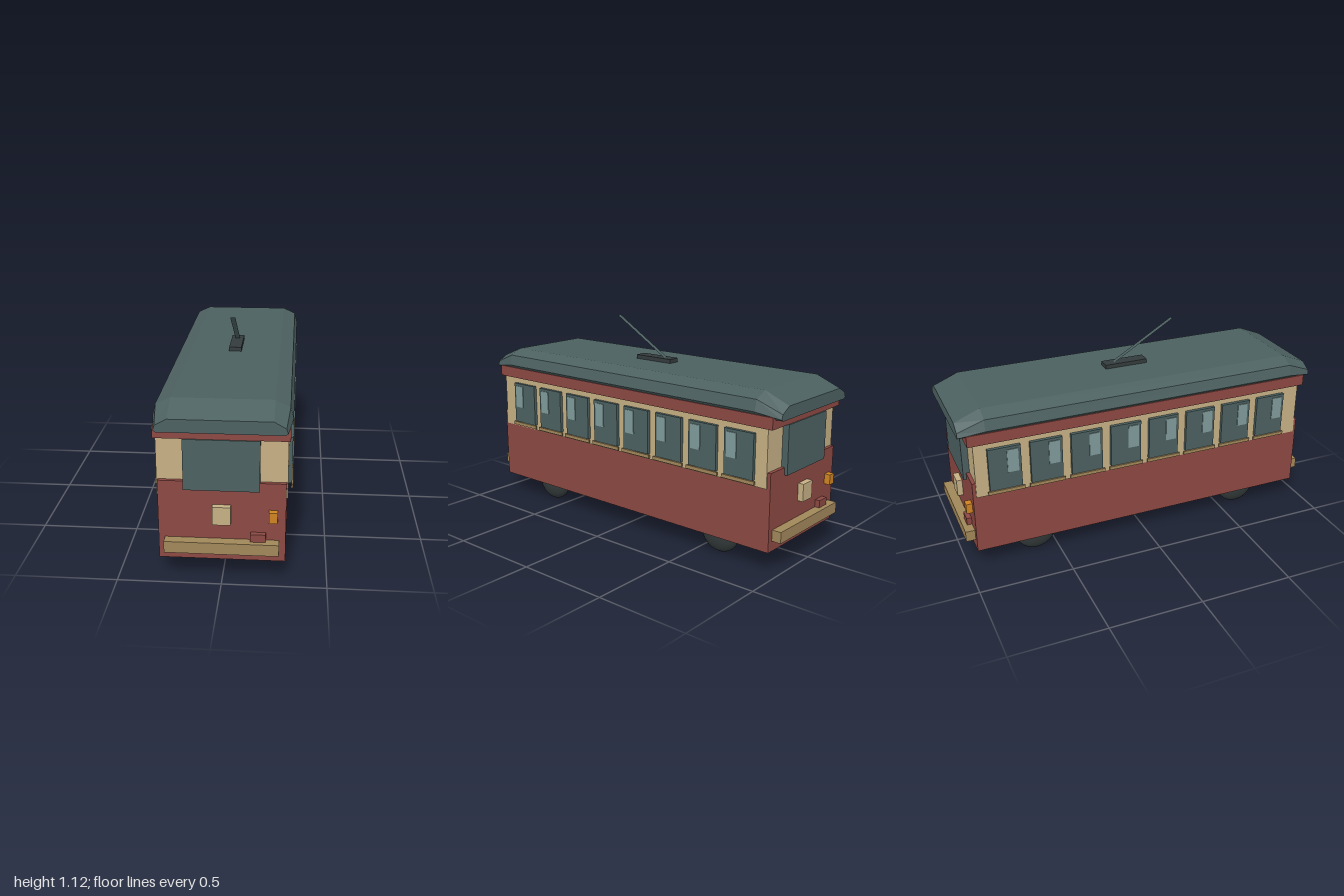
import * as THREE from 'three';

const mat = (name, color, extra = {}) => {
  const m = new THREE.MeshStandardMaterial({ color, ...extra });
  m.name = name;
  return m;
};

export function createModel() {
  const red = mat('maroon', 0x8c4843);
  const cream = mat('cream', 0xc6b084);
  const green = mat('slate green', 0x4c6060, { flatShading: true });
  const pale = mat('pale glass', 0x809b9b);
  const brass = mat('brass', 0xa1875a);
  const amber = mat('amber', 0xcf8322);
  const dark = mat('charcoal', 0x343b3c);
  const poleMat = mat('pole green', 0x4c6060, { side: THREE.DoubleSide });

  const tram = new THREE.Group();
  tram.name = 'tram';

  const add = (parent, name, geometry, material) => {
    const mesh = new THREE.Mesh(geometry, material);
    mesh.name = name;
    parent.add(mesh);
    return mesh;
  };
  // Box given by its extents on each axis
  const box = (parent, name, material, [x0, x1], [y0, y1], [z0, z1]) => {
    const g = new THREE.BoxGeometry(x1 - x0, y1 - y0, z1 - z0);
    g.translate((x0 + x1) / 2, (y0 + y1) / 2, (z0 + z1) / 2);
    return add(parent, name, g, material);
  };

  // Body shell
  box(tram, 'lowerBody', red, [-0.3, 0.3], [0.107, 0.43], [-0.945, 0.945]);
  box(tram, 'upperBody', cream, [-0.306, 0.306], [0.43, 0.725], [-0.932, 0.932]);
  box(tram, 'cornice', red, [-0.315, 0.315], [0.725, 0.785], [-0.96, 0.96]);

  // Roof: lofted through four cross-sections, hipped at both ends
  const mainHalf = [[0.295, 0.77], [0.325, 0.8], [0.31, 0.857], [0.24, 0.889]];
  const endHalf = [[0.29, 0.77], [0.303, 0.778], [0.295, 0.803], [0.24, 0.834]];
  const ring = (half, z) =>
    [...half, ...half.map(([x, y]) => [-x, y]).reverse()].map(([x, y]) => [x, y, z]);
  const rings = [ring(endHalf, -1), ring(mainHalf, -0.865), ring(mainHalf, 0.865), ring(endHalf, 1)];
  const pos = [];
  const n = rings[0].length;
  for (let s = 0; s < 3; s++) {
    for (let i = 0; i < n; i++) {
      const j = (i + 1) % n;
      const a = rings[s][i], b = rings[s][j], c = rings[s + 1][j], d = rings[s + 1][i];
      pos.push(...a, ...b, ...c, ...a, ...c, ...d);
    }
  }
  for (let i = 1; i < n - 1; i++) {
    pos.push(...rings[3][0], ...rings[3][i], ...rings[3][i + 1]);
    pos.push(...rings[0][0], ...rings[0][i + 1], ...rings[0][i]);
  }
  const roof = new THREE.BufferGeometry();
  roof.setAttribute('position', new THREE.Float32BufferAttribute(pos, 3));
  roof.computeVertexNormals();
  add(tram, 'roof', roof, green);

  // Trolley base and flat slanted pole
  box(tram, 'poleBase', dark, [-0.033, 0.033], [0.88, 0.911], [-0.12, 0.12]);
  const start = new THREE.Vector3(0, 0.9, -0.08);
  const end = new THREE.Vector3(0, 1.115, 0.28);
  const pole = add(tram, 'trolleyPole', new THREE.PlaneGeometry(0.026, start.distanceTo(end)), poleMat);
  pole.position.copy(start).add(end).multiplyScalar(0.5);
  pole.rotation.x = Math.atan2(end.z - start.z, end.y - start.y);

  // Side windows with glints and sills, mirrored across x
  const span = (side, a, b) => (side > 0 ? [a, b] : [-b, -a]);
  for (const side of [1, -1]) {
    const row = new THREE.Group();
    row.name = side > 0 ? 'leftWindows' : 'rightWindows';
    tram.add(row);
    for (let i = 0; i < 8; i++) {
      const z = 0.749 - i * 0.2184;
      box(row, 'sideWindow', green, span(side, 0.3, 0.324), [0.462, 0.695], [z - 0.085, z + 0.085]);
      box(row, 'windowGlint', pale, span(side, 0.323, 0.328), [0.553, 0.68], [z + 0.012, z + 0.07]);
      box(row, 'windowSill', brass, span(side, 0.32, 0.329), [0.442, 0.46], [z - 0.096, z + 0.096]);
    }
  }

  // Two identical ends, the rear one turned half a circle
  for (const [name, turn] of [['frontEnd', 0], ['rearEnd', Math.PI]]) {
    const g = new THREE.Group();
    g.name = name;
    g.rotation.y = turn;
    tram.add(g);
    box(g, 'dashPanel', red, [-0.3, 0.3], [0.107, 0.51], [0.93, 0.95]);
    box(g, 'windscreen', green, [-0.178, 0.178], [0.472, 0.725], [0.93, 0.966]);
    box(g, 'headlamp', cream, [-0.043, 0.043], [0.303, 0.395], [0.945, 0.98]);
    box(g, 'signalLamp', amber, [0.221, 0.262], [0.321, 0.375], [0.945, 0.982]);
    box(g, 'stepBlock', red, [0.135, 0.207], [0.21, 0.257], [0.945, 0.976]);
    box(g, 'bumper', brass, [-0.27, 0.27], [0.16, 0.218], [0.945, 1]);
  }

  // Rounded wheels half hidden beneath the floor
  for (const x of [-0.223, 0.223]) {
    for (const z of [-0.615, 0.615]) {
      const wheel = add(tram, 'wheel', new THREE.SphereGeometry(1, 24, 16), dark);
      wheel.scale.set(0.055, 0.11, 0.112);
      wheel.position.set(x, 0.11, z);
    }
  }
  return tram;
}
